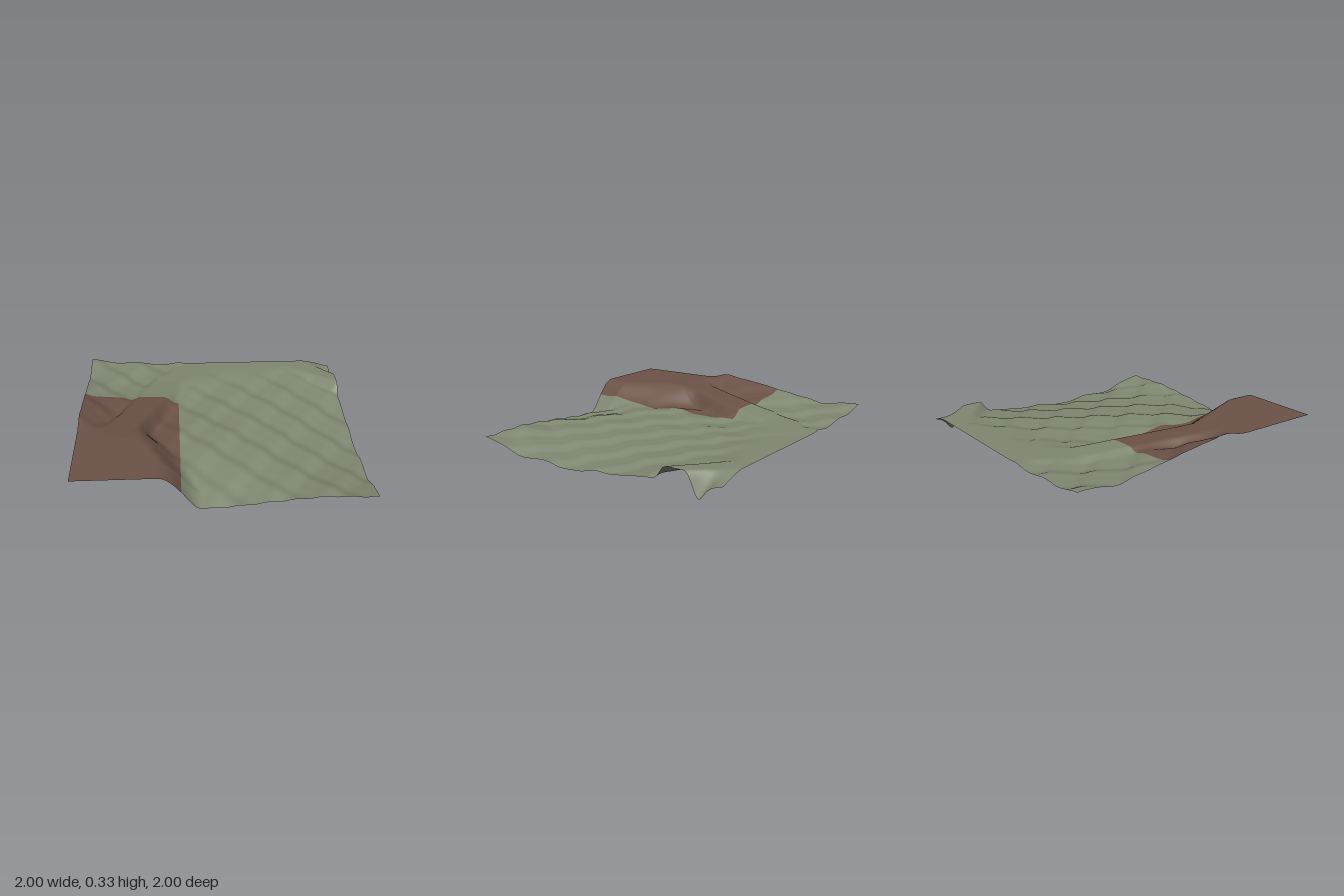
import * as THREE from 'three';

const SEG = 200;

// Broad ground heights: rows run z = -1..1, columns x = -1..1, step 0.4
const GROUND = [
  [0.225, 0.185, 0.175, 0.175, 0.175, 0.13],
  [0.22, 0.175, 0.16, 0.155, 0.14, 0.10],
  [0.285, 0.19, 0.15, 0.145, 0.11, 0.05],
  [0.335, 0.16, 0.165, 0.14, 0.09, 0.02],
  [0.33, 0.19, 0.145, 0.125, 0.09, 0.035],
  [0.30, 0.20, 0.065, 0.085, 0.12, 0.11],
];

// Road centre line: x, z, height, flat half width
const ROAD = [
  [-0.76, 0.44, 0.30, 0.08],
  [-0.37, -0.62, 0.19, 0.08],
  [-0.1, -0.94, 0.176, 0.1],
  [0.65, -1.0, 0.175, 0.08],
  [1.02, -0.63, 0.175, 0.045],
];

const { lerp, smoothstep, clamp } = THREE.MathUtils;

// Catmull-Rom through evenly spaced values, u in 0..5
function spline(v, u) {
  const i = Math.min(Math.floor(u), v.length - 2), t = u - i;
  const b = v[i], c = v[i + 1], a = v[i - 1] ?? 2 * b - c, d = v[i + 2] ?? 2 * c - b;
  return b + 0.5 * t * (c - a + t * (2 * a - 5 * b + 4 * c - d + t * (3 * (b - c) + d - a)));
}

function naturalHeight(x, z) {
  const u = clamp((x + 1) * 2.5, 0, 5), v = clamp((z + 1) * 2.5, 0, 5);
  let h = spline(GROUND.map((row) => spline(row, u)), v);
  // Crossing ripples, with a finer set on top
  const p = 0.74 * x - 0.67 * z - 0.24, q = 0.82 * x + 0.57 * z - 0.83;
  h -= 0.007 * (Math.sin(23 * p) + Math.sin(21 * q));
  h -= 0.002 * (Math.sin(46 * p) + Math.sin(42 * q));
  // Hollow beside the far end of the road
  h -= 0.15 * Math.exp(-((x - 1.02) ** 2 / 0.03 + (z + 0.8) ** 2 / 0.007));
  return h;
}

function height(x, z) {
  let h = naturalHeight(x, z);

  // Level plateau with a cut corner and sloping sides
  const corner = 1.1 * (x + 0.62) - 0.47 * (z - 0.38);
  const outside = Math.max(x + 0.44, corner, 0.4 - z);
  h = lerp(0.30, h, smoothstep(outside, 0, 0.29));

  // Graded road: the nearest stretch, with banks that soften along the far side
  let best = Infinity, level = 0;
  for (let i = 0; i < ROAD.length - 1; i++) {
    const [ax, az, ah, aw] = ROAD[i], [bx, bz, bh, bw] = ROAD[i + 1];
    const dx = bx - ax, dz = bz - az;
    const t = clamp(((x - ax) * dx + (z - az) * dz) / (dx * dx + dz * dz), 0, 1);
    const edge = Math.hypot(x - ax - t * dx, z - az - t * dz) - lerp(aw, bw, t);
    if (edge < best) { best = edge; level = lerp(ah, bh, t); }
  }
  const soft = smoothstep(x, -0.3, 0) * (1 - smoothstep(x, 0.4, 0.65));
  return lerp(level, h, smoothstep(best, 0, 0.09 + 0.25 * soft));
}

export function createModel() {
  const grass = new THREE.MeshStandardMaterial({ color: 0x7f8872, side: THREE.DoubleSide });
  grass.name = 'grassGreen';
  const earth = new THREE.MeshStandardMaterial({ color: 0x6c5248, side: THREE.DoubleSide });
  earth.name = 'earthBrown';

  // Height-mapped ground sheet
  const geo = new THREE.PlaneGeometry(2, 2, SEG, SEG).rotateX(-Math.PI / 2);
  const pos = geo.attributes.position;
  for (let i = 0; i < pos.count; i++) {
    pos.setY(i, Math.max(0, height(pos.getX(i), pos.getZ(i))));
  }
  geo.computeVertexNormals();

  // Separate the brown corner from the green ground
  const green = [], brown = [], idx = geo.index.array;
  for (let i = 0; i < idx.length; i += 6) {
    const cell = i / 6;
    const x = -1 + ((cell % SEG) + 0.5) * 2 / SEG;
    const z = -1 + (Math.floor(cell / SEG) + 0.5) * 2 / SEG;
    (x < -0.29 && z > -0.29 ? brown : green).push(...idx.slice(i, i + 6));
  }
  geo.setIndex([...green, ...brown]);
  geo.addGroup(0, green.length, 0);
  geo.addGroup(green.length, brown.length, 1);

  const terrain = new THREE.Mesh(geo, [grass, earth]);
  terrain.name = 'terrain';
  const group = new THREE.Group();
  group.name = 'landscape';
  group.add(terrain);
  return group;
}
